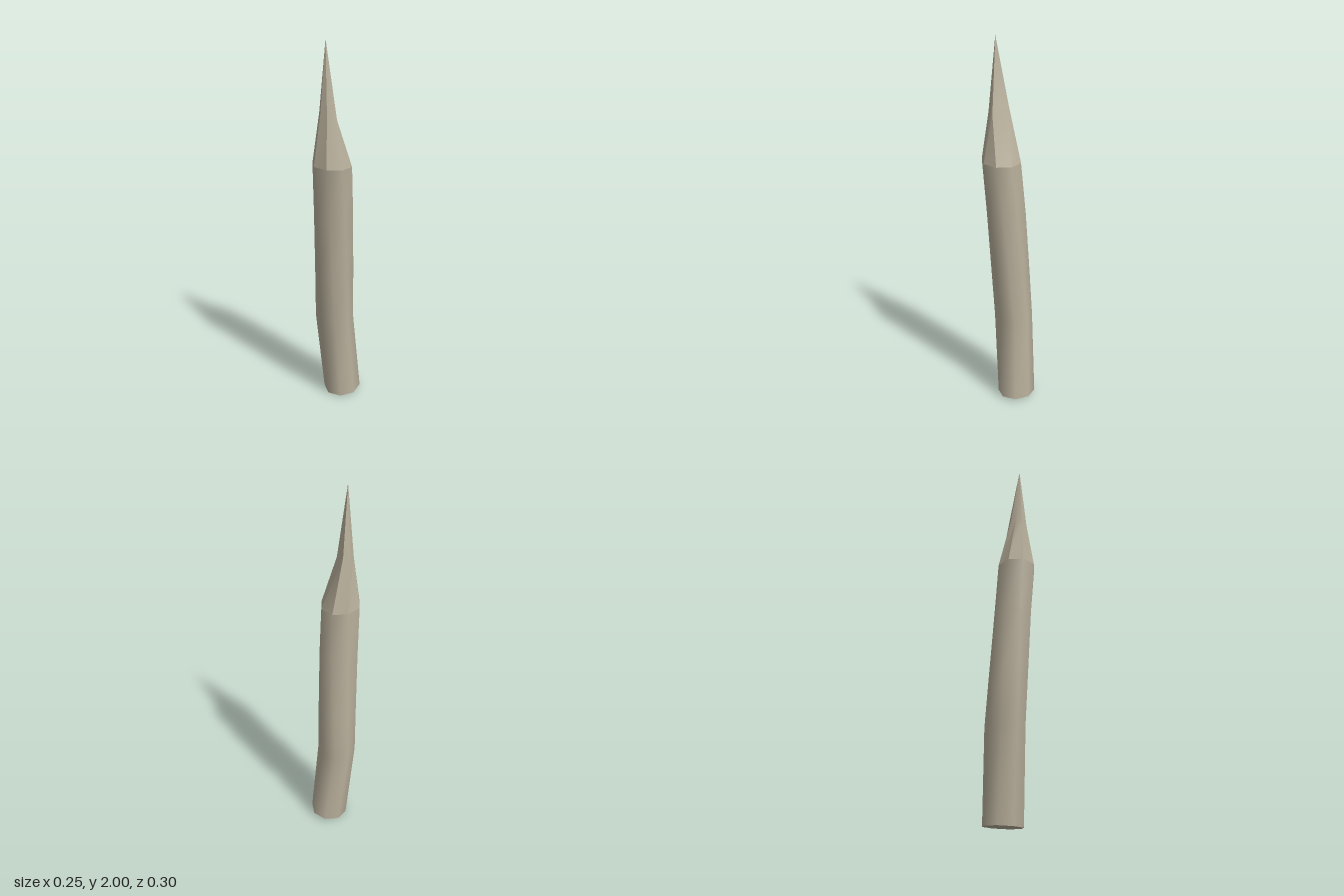
import * as THREE from 'three';
import { toCreasedNormals } from 'three/addons/utils/BufferGeometryUtils.js';

const SIDES = 8;

// Eight-sided ring round a centre; phase in degrees, tilt lowers the front edge
function ring(x, y, z, phase, tilt = 0, r = 0.103) {
  return Array.from({ length: SIDES }, (_, k) => {
    const a = THREE.MathUtils.degToRad(phase + k * 45);
    return [x + r * Math.cos(a), y - tilt * Math.sin(a), z + r * Math.sin(a)];
  });
}

// Skin through rings from bottom to top, with an optional point at the upper end
function loft(rings, apex) {
  const points = rings.flat();
  const index = [];
  for (let j = 0; j < rings.length - 1; j++) {
    for (let k = 0; k < SIDES; k++) {
      const a = j * SIDES + k, b = j * SIDES + (k + 1) % SIDES;
      index.push(a, a + SIDES, b, b, a + SIDES, b + SIDES);
    }
  }
  if (apex) {
    const base = (rings.length - 1) * SIDES;
    for (let k = 0; k < SIDES; k++) index.push(base + k, points.length, base + (k + 1) % SIDES);
    points.push(apex);
  }
  const geometry = new THREE.BufferGeometry();
  geometry.setAttribute('position', new THREE.Float32BufferAttribute(points.flat(), 3));
  geometry.setIndex(index);
  geometry.computeVertexNormals();
  return geometry;
}

export function createModel() {
  const group = new THREE.Group();
  group.name = 'woodenStake';
  const wood = new THREE.MeshStandardMaterial({ color: 0xb8af9b });
  const add = (name, geometry) => {
    const mesh = new THREE.Mesh(geometry, wood);
    mesh.name = name;
    group.add(mesh);
  };

  // Slightly crooked shaft
  const bottom = ring(-0.013, 0.01, -0.045, -4, 0.01);
  const rim = ring(0.021, 1.38, 0.045, 5.6, -0.005);
  add('shaft', loft([
    bottom,
    ring(-0.025, 0.49, 0, -11),
    ring(-0.012, 0.75, 0.01, -6),
    ring(0.005, 1.1, 0.026, 0),
    rim,
  ]));

  // Flat sawn end
  const cap = new THREE.BufferGeometry();
  cap.setAttribute('position', new THREE.Float32BufferAttribute(bottom.flat(), 3));
  const capIndex = [];
  for (let k = 1; k < SIDES - 1; k++) capIndex.push(0, k, k + 1);
  cap.setIndex(capIndex);
  cap.computeVertexNormals();
  add('sawnEnd', cap);

  // Whittled point, cut deeper at the back
  const whittled = [
    [0.07, 1.63, 0.07], [0.058, 1.63, 0.1], [0.024, 1.65, 0.115], [-0.008, 1.65, 0.1],
    [-0.025, 1.66, 0.073], [-0.02, 1.66, 0.036], [0.03, 1.65, 0.045], [0.07, 1.62, 0.05],
  ];
  add('point', toCreasedNormals(loft([rim, whittled], [0.025, 2, 0.083]), 0.7));

  return group;
}
